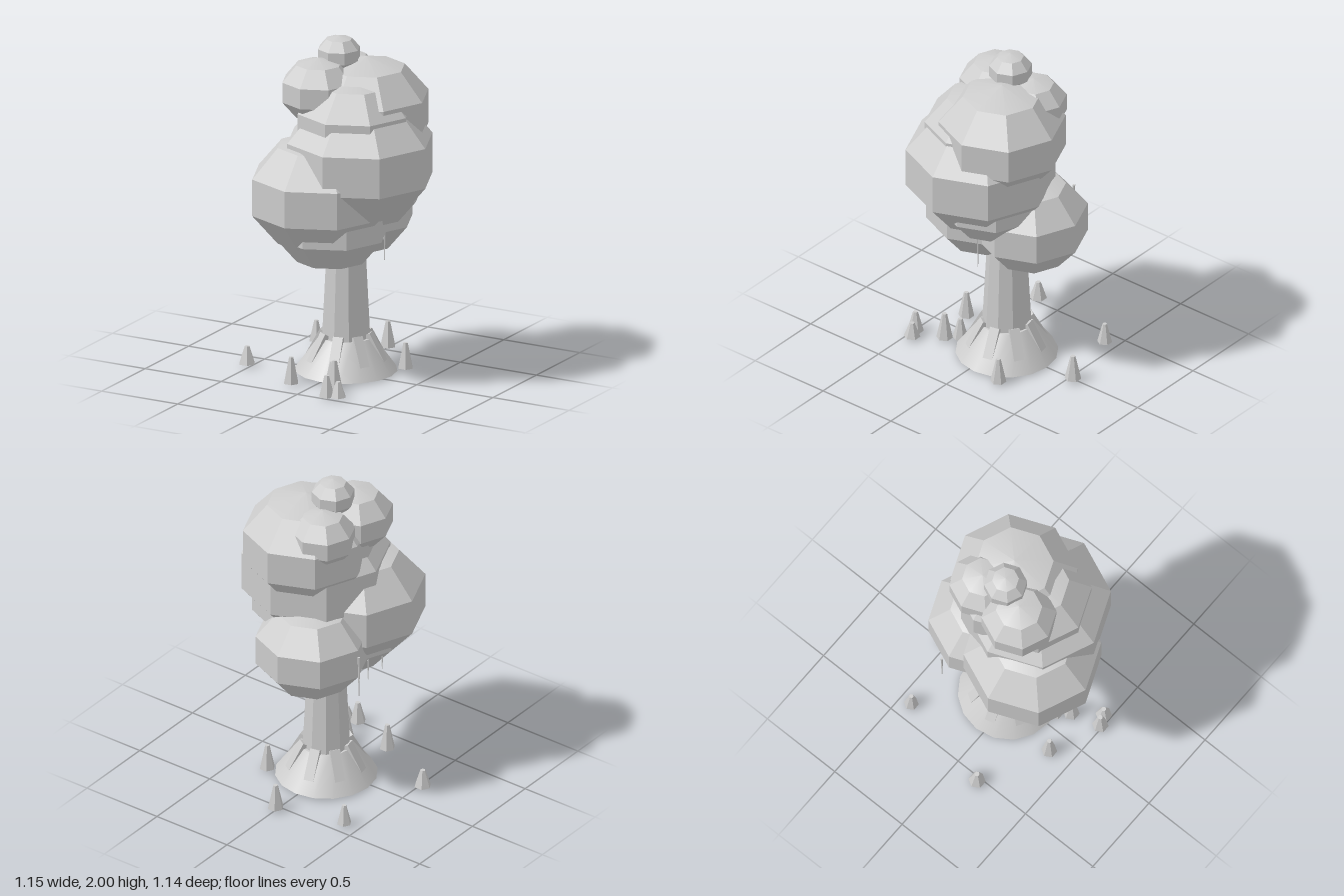
import * as THREE from 'three';
import { toCreasedNormals } from 'three/addons/utils/BufferGeometryUtils.js';

export function createModel() {
  const tree = new THREE.Group();
  tree.name = 'tree';
  const grey = new THREE.MeshStandardMaterial({ color: 0xcccccc });
  grey.name = 'plain grey';

  const add = (name, geometry, x, y, z, parent = tree) => {
    const mesh = new THREE.Mesh(toCreasedNormals(geometry, 0.45), grey);
    mesh.name = name;
    mesh.position.set(x, y, z);
    parent.add(mesh);
    return mesh;
  };

  // Foliage: squashed eight-sided blobs [x, y, z, radius]
  const blobs = [
    [-0.045, 1.113, 0.172, 0.415],
    [0.147, 1.313, 0.038, 0.452],
    [0.115, 1.555, -0.096, 0.384],
    [0.115, 1.505, 0.043, 0.354],
    [-0.01, 0.95, -0.205, 0.344],
    [0.01, 0.95, 0.127, 0.346],
    [0.163, 1.158, -0.05, 0.317],
    [-0.085, 1.703, 0.106, 0.226],
    [-0.066, 1.7, -0.18, 0.2],
    [-0.033, 1.889, -0.037, 0.13],
  ];
  const foliage = new THREE.Group();
  foliage.name = 'foliage';
  tree.add(foliage);
  for (const [x, y, z, r] of blobs) {
    add('leafBlob', new THREE.SphereGeometry(r, 8, 5).scale(1, 0.85, 1), x, y, z, foliage);
  }

  // Trunk with a flared foot and leaning roots
  const base = new THREE.Group();
  base.name = 'trunkAndRoots';
  base.position.set(0.01, 0, -0.045);
  tree.add(base);
  add('trunk', new THREE.CylinderGeometry(0.1, 0.15, 1.0, 10), 0, 0.51, 0, base);
  add('flaredFoot', new THREE.CylinderGeometry(0.15, 0.295, 0.2, 16), 0, 0.11, 0, base);
  for (let i = 0; i < 8; i++) {
    const root = new THREE.BoxGeometry(0.06, 0.25, 0.045);
    root.rotateX(-0.5).translate(0, 0.123, 0.19).rotateY((i * Math.PI) / 4 + 0.2);
    add('root', root, 0, 0, 0, base);
  }

  // Hanging vines: thin tapering strands [x, z, bottom, top]
  const vines = [
    [-0.365, -0.233, 0.76, 1.02],
    [-0.28, 0.1, 0.74, 0.95],
    [-0.255, 0.0, 0.71, 0.95],
    [0.265, -0.04, 0.7, 0.98],
  ];
  for (const [x, z, low, high] of vines) {
    add('vine', new THREE.CylinderGeometry(0.008, 0.002, high - low, 6), x, (low + high) / 2, z);
  }

  // Small six-sided stubs around the foot [x, z, radius, top]
  const stubs = [
    [-0.524, 0.16, 0.05, 0.12],
    [-0.405, -0.427, 0.043, 0.135],
    [0.007, -0.53, 0.048, 0.165],
    [0.185, 0.485, 0.048, 0.14],
    [0.246, 0.46, 0.048, 0.105],
    [-0.12, 0.36, 0.046, 0.17],
    [0.137, 0.31, 0.048, 0.175],
    [0.08, 0.24, 0.045, 0.14],
    [0.3, -0.22, 0.046, 0.165],
  ];
  for (const [x, z, r, top] of stubs) {
    const h = top - 0.015;
    add('groundStub', new THREE.CylinderGeometry(r * 0.3, r, h, 6).rotateY(Math.PI / 6), x, 0.015 + h / 2, z);
  }
  return tree;
}
